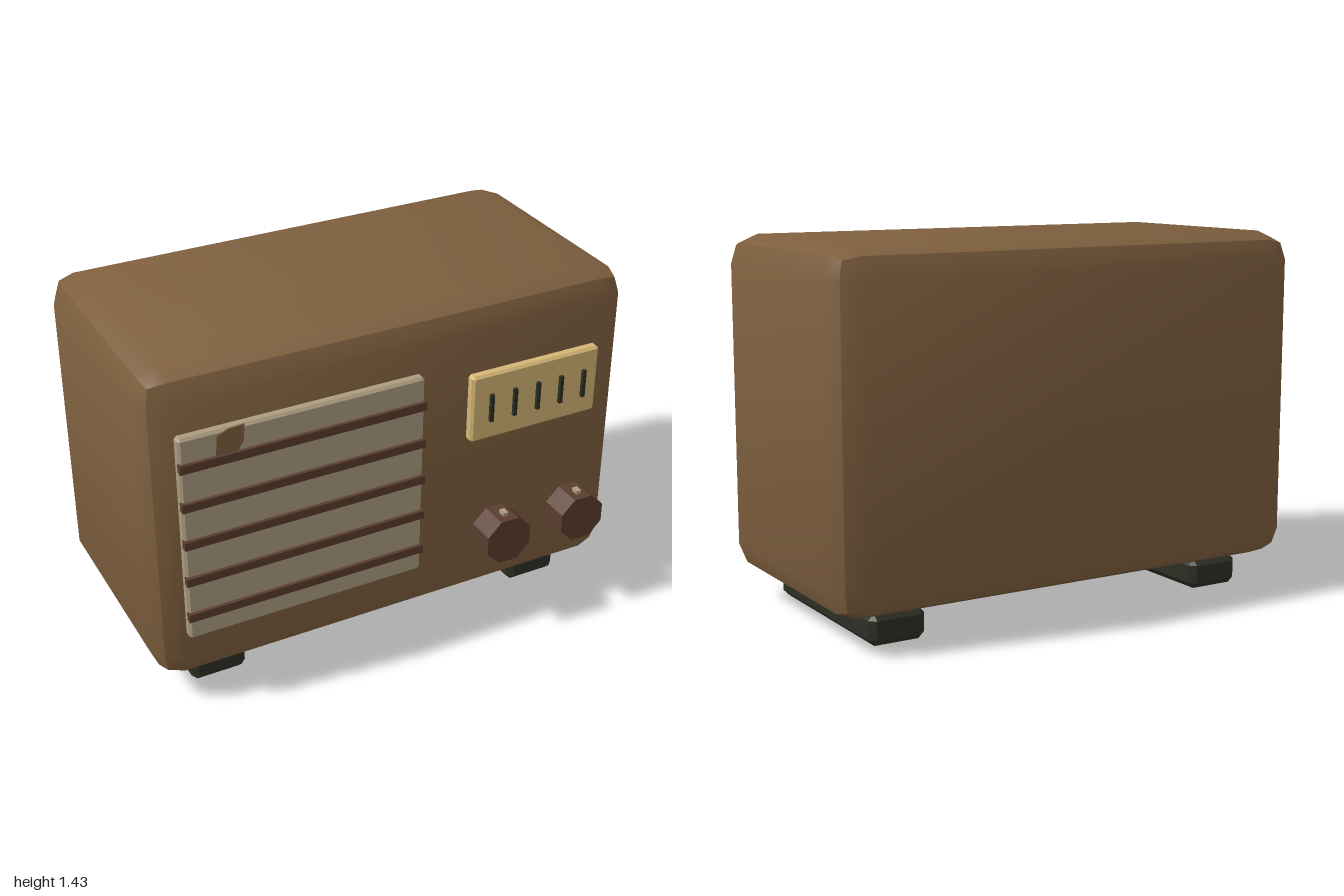
import * as THREE from 'three';
import { toCreasedNormals } from 'three/addons/utils/BufferGeometryUtils.js';
import { RoundedBoxGeometry } from 'three/addons/geometries/RoundedBoxGeometry.js';
import { ConvexGeometry } from 'three/addons/geometries/ConvexGeometry.js';

function material(name, color) {
  const m = new THREE.MeshStandardMaterial({ color });
  m.name = name;
  return m;
}

// Box with every edge cut at 45 degrees
function chamferBox(w, h, d, c) {
  const half = [w / 2, h / 2, d / 2];
  const points = [];
  for (let axis = 0; axis < 3; axis++) {
    for (const sx of [-1, 1]) for (const sy of [-1, 1]) for (const sz of [-1, 1]) {
      const s = [sx, sy, sz];
      points.push(new THREE.Vector3(...half.map((v, i) => s[i] * (i === axis ? v : v - c))));
    }
  }
  return new ConvexGeometry(points);
}

export function createModel() {
  const root = new THREE.Group();
  root.name = 'tableRadio';

  const wood = material('cabinetBrown', 0x7f603f);
  const cloth = material('grilleBeige', 0xab9c80);
  const cream = material('dialCream', 0xd5b675);
  const darkWood = material('darkBrown', 0x5a3d2f);
  const black = material('footBlack', 0x2d2f24);

  function add(name, geometry, mat, x, y, z, parent = root) {
    const mesh = new THREE.Mesh(geometry, mat);
    mesh.name = name;
    mesh.position.set(x, y, z);
    parent.add(mesh);
    return mesh;
  }

  // Cabinet with two-step rounded edges
  const body = toCreasedNormals(new RoundedBoxGeometry(2, 1.31, 1.03, 1, 0.11), 0.6);
  add('cabinet', body, wood, 0, 0.775, -0.085);

  // Feet running front to back
  for (const side of [-1, 1]) {
    add(side > 0 ? 'leftFoot' : 'rightFoot',
      chamferBox(0.226, 0.12, 0.8, 0.024), black, side * 0.717, 0.06, -0.085);
  }

  // Speaker grille with five slats
  add('grille', chamferBox(0.97, 0.86, 0.06, 0.01), cloth, -0.403, 0.775, 0.435);
  for (let i = 0; i < 5; i++) {
    add('grilleSlat', new THREE.BoxGeometry(0.974, 0.034, 0.025), darkWood,
      -0.403, 0.45 + i * 0.16, 0.4665);
  }

  // Small brown patch at the top of the grille
  const patch = new THREE.Shape([
    [-0.75, 1.107], [-0.665, 1.107], [-0.645, 1.14], [-0.638, 1.207], [-0.7, 1.203], [-0.745, 1.185],
  ].map(([x, y]) => new THREE.Vector2(x, y)));
  add('grillePatch', new THREE.ExtrudeGeometry(patch, { depth: 0.006, bevelEnabled: false }),
    wood, 0, 0, 0.461);

  // Tuning dial with five marks
  add('dial', chamferBox(0.565, 0.283, 0.06, 0.01), cream, 0.57, 1.005, 0.435);
  for (let i = 0; i < 5; i++) {
    add('dialMark', new THREE.BoxGeometry(0.015, 0.116, 0.025), black,
      0.37 + i * 0.1035, 1.003, 0.4665);
  }

  // Eight-sided knobs, each with a pointer on top
  const knobShape = new THREE.CylinderGeometry(0.103, 0.103, 0.115, 8).toNonIndexed();
  knobShape.rotateY(Math.PI / 8);
  knobShape.rotateX(Math.PI / 2);
  knobShape.computeVertexNormals();
  for (const x of [0.4, 0.74]) {
    const knob = new THREE.Group();
    knob.name = 'knob';
    knob.position.set(x, 0.463, 0.5425);
    add('knobBody', knobShape, darkWood, 0, 0, 0, knob);
    add('knobPointer', new THREE.BoxGeometry(0.022, 0.03, 0.032), cloth, 0, 0.095, 0.009, knob);
    root.add(knob);
  }

  return root;
}
